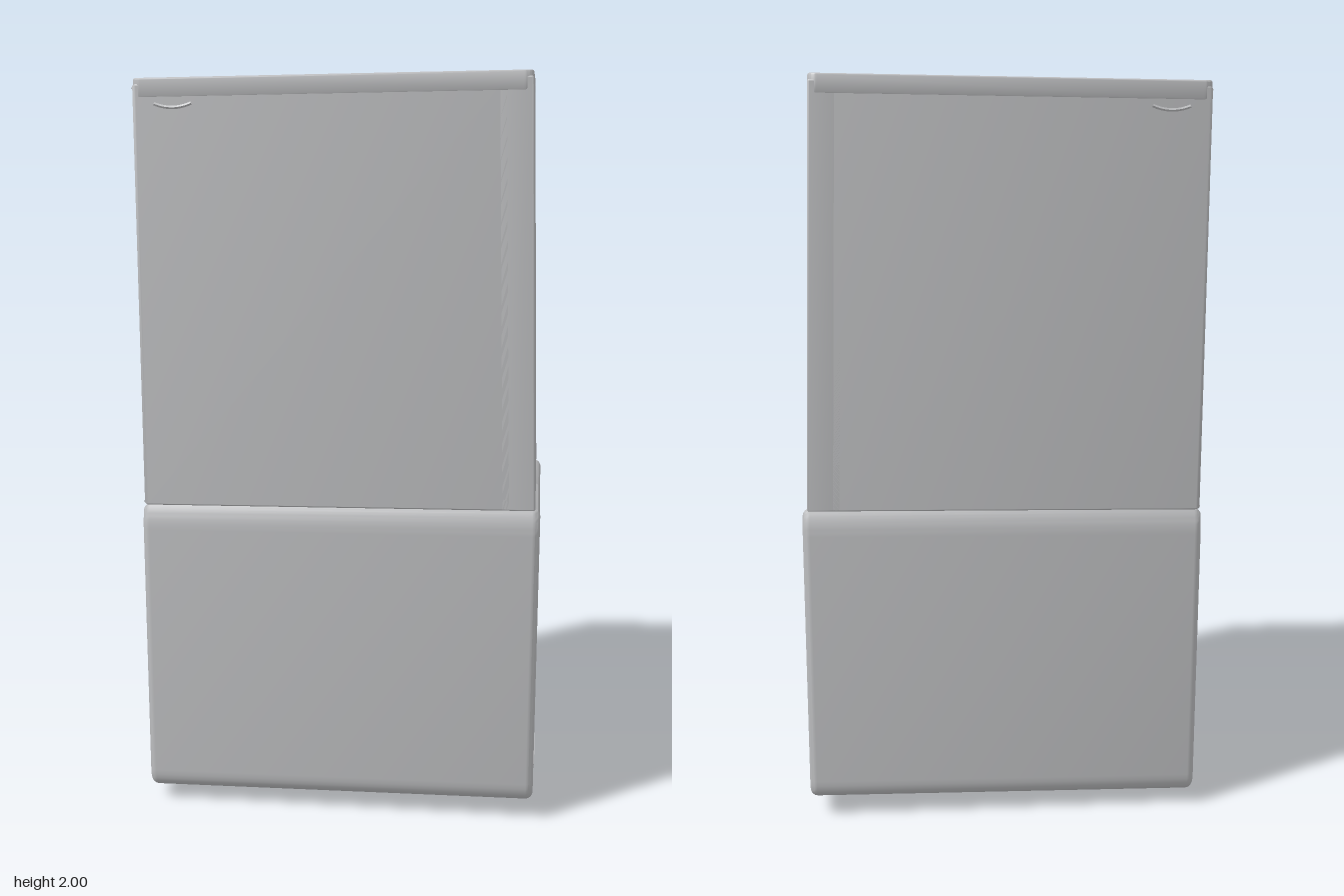
import * as THREE from 'three';
import { toCreasedNormals } from 'three/addons/utils/BufferGeometryUtils.js';

const BASE = 0.877; // underside of the upper housing

// Slight lean of the whole unit; the upper housing also narrows towards its top right.
function lean(geo) {
  const p = geo.attributes.position;
  for (let i = 0; i < p.count; i++) {
    const x = p.getX(i), y = p.getY(i);
    const t = Math.max(0, (y - BASE) / (2 - BASE));
    p.setX(i, x - 0.032 * t * (x + 0.53) / 1.05);
    p.setY(i, y + 0.016 * (x - 0.5));
  }
  return toCreasedNormals(geo, 0.6);
}

// Rounded rectangle centred on (cx, cy)
function rounded(cx, cy, w, h, r, PathType = THREE.Shape) {
  const s = new PathType(), a = cx - w / 2, b = cx + w / 2, c = cy - h / 2, d = cy + h / 2;
  s.moveTo(a + r, c);
  s.lineTo(b - r, c);
  s.absarc(b - r, c + r, r, -Math.PI / 2, 0);
  s.lineTo(b, d - r);
  s.absarc(b - r, d - r, r, 0, Math.PI / 2);
  s.lineTo(a + r, d);
  s.absarc(a + r, d - r, r, Math.PI / 2, Math.PI);
  s.lineTo(a, c + r);
  s.absarc(a + r, c + r, r, Math.PI, Math.PI * 1.5);
  return s;
}

// Extrusion between two depths with rounded ends that keep the outline size
function slab(shape, from, to, bevel = 0) {
  const geo = new THREE.ExtrudeGeometry(shape, {
    depth: to - from - 2 * bevel, bevelEnabled: bevel > 0, bevelThickness: bevel,
    bevelSize: bevel, bevelOffset: -bevel, bevelSegments: 4, curveSegments: 8,
  });
  return geo.translate(0, 0, from + bevel);
}
// Side profile (-z, y) extruded along x
const alongX = (...args) => slab(...args).rotateY(Math.PI / 2);
// Plan outline (x, -z) extruded along y
const alongY = (...args) => slab(...args).rotateX(-Math.PI / 2);

export function createModel() {
  const model = new THREE.Group();
  model.name = 'dehumidifier';
  const grey = new THREE.MeshStandardMaterial({ color: 0xbdbec0 });
  grey.name = 'light grey plastic';
  const add = (name, geo) => {
    const mesh = new THREE.Mesh(lean(geo), grey);
    mesh.name = name;
    model.add(mesh);
  };

  // Lower tank: rounded bottom, two raised rims along front and back of the deck
  const tank = new THREE.Shape();
  tank.moveTo(-0.26, 0.05);
  tank.lineTo(0.26, 0.05);
  tank.quadraticCurveTo(0.32, 0.05, 0.32, 0.11);
  tank.lineTo(0.32, 0.81);
  tank.quadraticCurveTo(0.32, 0.85, 0.303, BASE);
  tank.lineTo(0.272, BASE);
  tank.lineTo(0.235, 0.82);
  tank.lineTo(-0.235, 0.82);
  tank.lineTo(-0.272, BASE);
  tank.lineTo(-0.303, BASE);
  tank.quadraticCurveTo(-0.32, 0.85, -0.32, 0.81);
  tank.lineTo(-0.32, 0.11);
  tank.quadraticCurveTo(-0.32, 0.05, -0.26, 0.05);
  tank.holes.push(rounded(0.157, 0.487, 0.028, 0.445, 0.0139, THREE.Path));
  add('tank', alongX(tank, -0.535, 0.535, 0.02));
  add('levelWindow', alongX(rounded(0.157, 0.487, 0.044, 0.46, 0.0219), -0.53, 0.519));
  add('tankSeam', alongX(rounded(0.05, 0.1, 0.43, 0.008, 0.003), 0.5, 0.538));

  // Feet
  for (const x of [-0.37, 0.38]) {
    for (const z of [-0.175, 0.175]) {
      add('foot', new THREE.CylinderGeometry(0.042, 0.034, 0.05, 24).translate(x, 0.04, z));
    }
  }

  // Posts and drain fitting between tank and housing
  for (const x of [-0.38, 0.38]) {
    for (const z of [-0.18, 0.18]) {
      add('post', new THREE.CylinderGeometry(0.042, 0.042, 0.08, 24).translate(x, 0.85, z));
    }
  }
  add('drainFlange', new THREE.CylinderGeometry(0.075, 0.06, 0.025, 24).translate(0, 0.872, 0));
  add('drainSpout', new THREE.CylinderGeometry(0.03, 0.03, 0.03, 24).translate(0, 0.862, 0));

  // Upper housing: solid core plus a right end plate with the vent opening
  const side = () => rounded(0, (BASE + 1.985) / 2, 0.62, 1.985 - BASE, 0.004);
  add('housing', alongX(side(), -0.53, 0.465, 0.012));
  const end = side();
  end.holes.push(rounded(0, 1.859, 0.52, 0.155, 0.004, THREE.Path));
  end.holes.push(rounded(0, 1.747, 0.51, 0.003, 0.001, THREE.Path));
  add('rightEndPlate', alongX(end, 0.43, 0.522, 0.006));

  // Vent frame set into the opening
  const frame = rounded(0, 1.859, 0.514, 0.15, 0.006);
  frame.holes.push(rounded(0, 1.848, 0.44, 0.086, 0.004, THREE.Path));
  add('ventFrame', alongX(frame, 0.44, 0.516, 0.004));

  // Lid with three long grooves
  const lid = rounded(-0.004, 0, 1.052, 0.622, 0.025);
  for (const z of [-0.068, -0.01, 0.058]) {
    lid.holes.push(rounded(-0.02, -z, 0.83, 0.004, 0.0019, THREE.Path));
  }
  add('lid', alongY(lid, 1.95, 2, 0.005));

  // Shallow panel and slit on the left side
  add('leftPanel', alongX(rounded(0, 1.4, 0.53, 0.92, 0.01), -0.534, -0.5, 0.002));
  add('leftSlit', alongX(rounded(0.25, 1.76, 0.008, 0.08, 0.003), -0.537, -0.5));

  // Small grip marks near the upper left corner, front and back
  for (const s of [-1, 1]) {
    const curve = new THREE.QuadraticBezierCurve3(
      new THREE.Vector3(-0.47, 1.935, s * 0.308),
      new THREE.Vector3(-0.42, 1.915, s * 0.308),
      new THREE.Vector3(-0.37, 1.935, s * 0.308));
    add('gripMark', new THREE.TubeGeometry(curve, 12, 0.005, 6));
  }
  return model;
}
